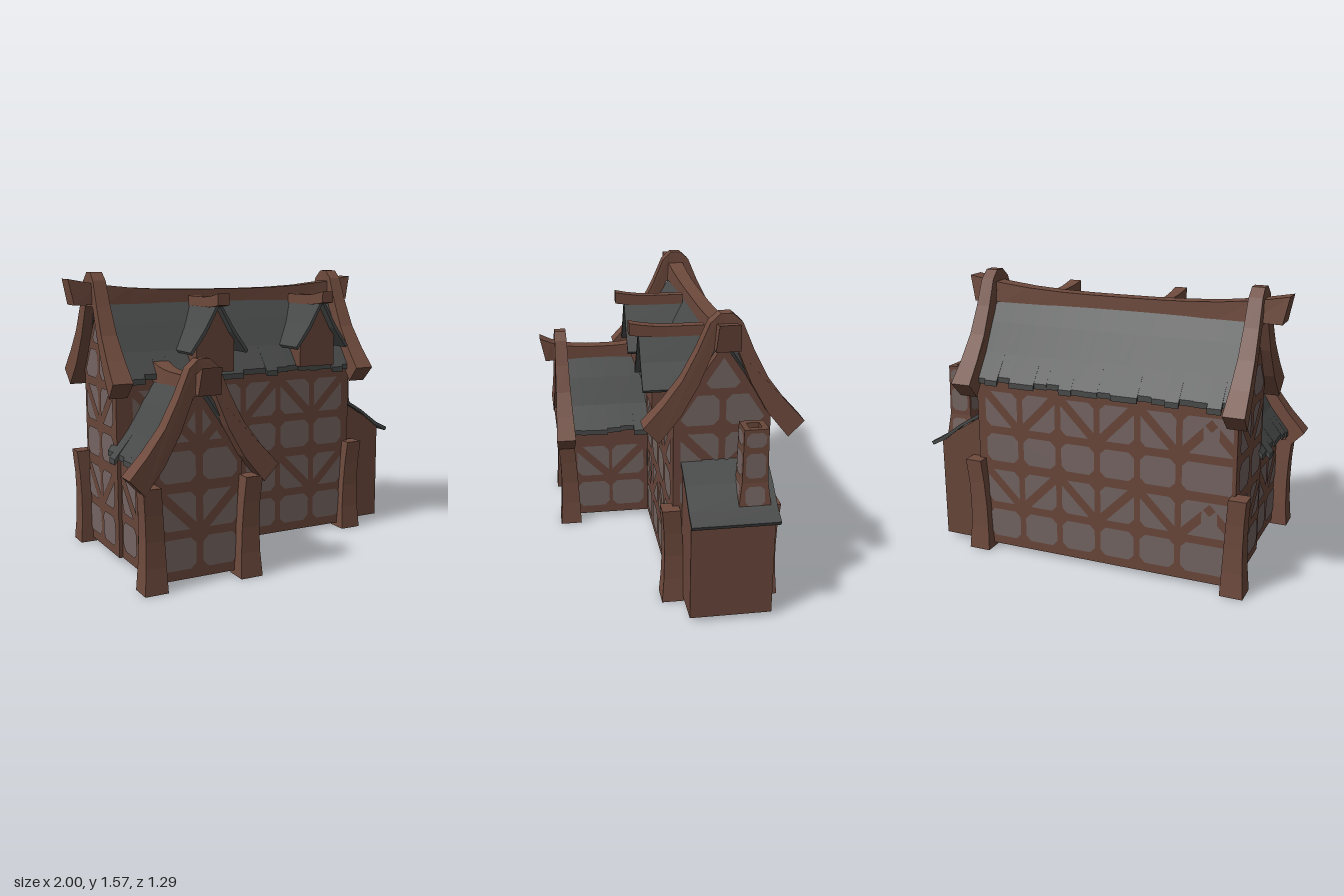
import * as THREE from 'three';
import { mergeGeometries } from 'three/addons/utils/BufferGeometryUtils.js';

const mat = (name, color) => new THREE.MeshStandardMaterial({ name, color, side: THREE.DoubleSide });
const beamMat = mat('beam wood', 0x6e4a3d);
const wallMat = mat('wall timber', 0x68463a);
const plasterMat = mat('plaster', 0x736461);
const roofMat = mat('roof slate', 0x484a49);
const darkMat = mat('flue', 0x2e2422);

let seed = 7;
const rand = () => (seed = (seed * 16807) % 2147483647) / 2147483647;

function add(parent, name, geo, material, x = 0, y = 0, z = 0) {
  const m = new THREE.Mesh(geo, material);
  m.name = name;
  m.position.set(x, y, z);
  parent.add(m);
  return m;
}
const shapeOf = pts => new THREE.Shape(pts.map(p => new THREE.Vector2(p[0], p[1])));
function prism(pts, z0, z1) {
  const g = new THREE.ExtrudeGeometry(shapeOf(pts), { depth: z1 - z0, bevelEnabled: false });
  return g.translate(0, 0, z0);
}
// Box whose vertices are moved by a rule, with hard facets
function bentBox(w, h, d, sx, sy, sz, rule) {
  const g = new THREE.BoxGeometry(w, h, d, sx, sy, sz).toNonIndexed();
  const p = g.attributes.position, v = new THREE.Vector3();
  for (let i = 0; i < p.count; i++) {
    rule(v.fromBufferAttribute(p, i));
    p.setXYZ(i, v.x, v.y, v.z);
  }
  g.computeVertexNormals();
  return g;
}
// Removes the underside so the shell is open at the ground
function openFloor(g, y) {
  const src = g.attributes.position.array, out = [];
  for (let i = 0; i < src.length; i += 9) {
    if (Math.max(src[i + 1], src[i + 4], src[i + 7]) > y + 0.001) out.push(...src.slice(i, i + 9));
  }
  const r = new THREE.BufferGeometry();
  r.setAttribute('position', new THREE.Float32BufferAttribute(out, 3));
  r.computeVertexNormals();
  return r;
}

// Keeps the part of a convex polygon where a*x + b*y <= c
function clip(pts, [a, b, c]) {
  const out = [];
  pts.forEach((p, i) => {
    const q = pts[(i + 1) % pts.length];
    const dp = a * p[0] + b * p[1] - c, dq = a * q[0] + b * q[1] - c;
    if (dp <= 0) out.push(p);
    if (dp * dq < 0) {
      const t = dp / (dp - dq);
      out.push([p[0] + (q[0] - p[0]) * t, p[1] + (q[1] - p[1]) * t]);
    }
  });
  return out;
}
function chamferedCell(x, y, w, h, c = 0.03) {
  const a = w / 2, b = h / 2;
  return [[-a + c, -b], [a - c, -b], [a, -b + c], [a, b - c], [a - c, b], [-a + c, b], [-a, b - c], [-a, -b + c]]
    .map(([u, v]) => [x + u, y + v]);
}

// Plaster fields between the timbers; every second row has V braces
const ROWS = [[0.165, 0.165], [0.39, 0.195], [0.62, 0.16], [0.845, 0.2], [1.07, 0.16], [1.31, 0.15]];
function plaster(parent, name, columns, rowCount, limits, pos, turn) {
  const geos = [];
  columns.forEach((x, ci) => ROWS.slice(0, rowCount).forEach(([y, h], ri) => {
    const w = 0.195, cell = chamferedCell(x, y, w, h);
    let pieces = [cell];
    if (ri % 2) {
      const s = ci % 2 ? -1 : 1, n = Math.hypot(w, h), a = s * h / n, b = w / n, c = a * x + b * y;
      pieces = [clip(cell, [a, b, c - 0.024]), clip(cell, [-a, -b, -c - 0.024])];
    }
    for (let p of pieces) {
      for (const l of limits) p = clip(p, l);
      if (p.length > 2) geos.push(new THREE.ShapeGeometry(shapeOf(p)));
    }
  }));
  add(parent, name, mergeGeometries(geos), plasterMat, ...pos).rotation.y = turn;
}
// Two sloping limits below a gable roof
const gableLimits = dy => [1, -1].map(s => [s * 0.37, 0.25, 0.25 * (1.39 + dy) - 0.012]);

// Curved bargeboard, wider toward its feet
function bargeboard(parent, z) {
  const outer = [[0.03, 1.575], [0.08, 1.53], [0.14, 1.39], [0.215, 1.245], [0.31, 1.12], [0.41, 1.01]];
  const inner = [[0.33, 0.925], [0.22, 1.06], [0.13, 1.22], [0.06, 1.39]];
  const half = [...outer, ...inner];
  const g = prism([...half, ...half.map(([x, y]) => [-x, y]).reverse()], -0.5, 0.5);
  const p = g.attributes.position;
  for (let i = 0; i < p.count; i++) p.setZ(i, p.getZ(i) * (0.065 + 0.14 * Math.abs(p.getX(i)) ** 1.2));
  g.computeVertexNormals();
  add(parent, 'bargeboard', g, beamMat, 0, 0, z);
}
// Sagging ridge beam with upturned, thicker ends
function ridgeBeam(parent, z0, z1) {
  const L = z1 - z0;
  const g = bentBox(1, 1, L, 1, 1, 10, v => {
    const t = Math.abs(v.z) / (L / 2), k = t * t * t;
    const top = v.y > 0;
    v.x *= 0.08 + 0.025 * k + (top ? 0 : 0.02 * k);
    v.y = top ? 1.475 + 0.065 * k : 1.4;
    if (!top) v.z *= 1 - 0.03 / (L / 2) * k;
  });
  add(parent, 'ridgeBeam', g, beamMat, 0, 0, (z0 + z1) / 2);
}
// Gabled block: across on x, ridge along z
function house(name, half, base, bodyZ, roofZ, barges, ridge) {
  const g = new THREE.Group();
  g.name = name;
  const side = [[half, base], [half, 1.03], [0.2, 1.1], [0.11, 1.25]];
  const body = prism([...side, [0, 1.41], ...side.map(([x, y]) => [-x, y]).reverse()], ...bodyZ);
  add(g, 'walls', openFloor(body, base), wallMat);
  // Roof courses with a ragged eave
  const strips = [], n = Math.round((roofZ[1] - roofZ[0]) / 0.075), step = (roofZ[1] - roofZ[0]) / n;
  for (const s of [1, -1]) for (let i = 0; i < n; i++) {
    const e = (rand() - 0.5) * 0.03;
    const top = [[0, 1.465], [0.11, 1.3], [0.2, 1.15], [0.3 + e, 1.025 - e]];
    const pts = [...top, ...top.map(([x, y]) => [x, y - 0.03]).reverse()].map(([x, y]) => [x * s, y]);
    strips.push(prism(pts, roofZ[0] + i * step, roofZ[0] + (i + 1) * step));
  }
  add(g, 'roof', mergeGeometries(strips), roofMat);
  barges.forEach(z => bargeboard(g, z));
  ridgeBeam(g, ...ridge);
  return g;
}

// Corner post, waisted in the middle and flared at the foot
function post(parent, x, z, ox, oz) {
  const g = bentBox(0.1, 0.54, 0.1, 1, 4, 1, v => {
    const t = v.y / 0.54 + 0.5, foot = (1 - t) ** 2;
    const k = 0.85 + 0.1 * t + 0.4 * foot;
    v.x = v.x * k + ox * (0.025 * t * t + 0.01 * foot);
    v.z = v.z * k + oz * (0.025 * t * t + 0.01 * foot);
    v.y += 0.275;
  });
  add(parent, 'cornerPost', g, beamMat, x, 0, z);
}

function dormer(parent, x) {
  const g = new THREE.Group();
  g.name = 'dormer';
  g.position.x = x;
  parent.add(g);
  add(g, 'dormerWalls', prism([[-0.115, 1.03], [0.115, 1.03], [0.115, 1.21], [0, 1.4], [-0.115, 1.21]], -0.15, 0.105), wallMat);
  for (const s of [1, -1]) {
    const pts = [[0, 1.425], [0.09, 1.27], [0.175, 1.15], [0.165, 1.135], [0.08, 1.25], [0, 1.395]];
    add(g, 'dormerRoof', prism(pts.map(([u, y]) => [u * s, y]), -0.18, 0.16), roofMat);
  }
  add(g, 'dormerRidge', bentBox(0.055, 0.055, 0.39, 1, 1, 6, v => {
    const t = Math.max(0, v.z / 0.195);
    v.x *= 1 + 0.25 * t;
    v.y = v.y * (1 + 0.15 * t) + 0.02 * t * t;
  }), beamMat, 0, 1.412, 0.015);
}

function chimney(parent) {
  const g = new THREE.Group();
  g.name = 'chimney';
  g.position.set(0.825, 0, -0.355);
  parent.add(g);
  const ring = pts => new THREE.LatheGeometry(pts.map(([r, y]) => new THREE.Vector2(r * Math.SQRT2, y)), 4)
    .rotateY(Math.PI / 4).toNonIndexed();
  const stack = ring([[0.09, 0.58], [0.066, 0.76], [0.062, 1.04], [0.032, 1.04], [0.03, 0.97]]);
  stack.computeVertexNormals();
  add(g, 'chimneyStack', stack, wallMat);
  add(g, 'flue', new THREE.PlaneGeometry(0.062, 0.062).rotateX(-Math.PI / 2), darkMat, 0, 0.975, 0);
  for (let i = 0; i < 4; i++) {
    const face = new THREE.Group();
    face.name = 'chimneyFace';
    face.rotation.y = i * Math.PI / 2;
    g.add(face);
    for (const [y, h, z, tilt] of [[0.985, 0.075, 0.066, 0.014], [0.85, 0.13, 0.068, 0.014], [0.69, 0.1, 0.078, 0.133]]) {
      const stone = new THREE.ShapeGeometry(shapeOf(chamferedCell(0, 0, 0.1, h, 0.02)));
      add(face, 'chimneyStone', stone, plasterMat, 0, y, z).rotation.x = -tilt;
    }
  }
}

export function createModel() {
  const model = new THREE.Group();
  model.name = 'timberHouse';
  const H = Math.PI / 2;

  const main = house('mainHouse', 0.25, 0.03, [-0.82, 0.67], [-0.82, 0.66], [-0.835, 0.675], [-1, 0.8]);
  main.rotation.y = H;
  main.position.z = -0.23;
  model.add(main);
  const wing = house('frontWing', 0.245, 0.44, [-0.24, 0.49], [-0.05, 0.51], [0.525], [-0.06, 0.65]);
  wing.position.set(-0.555, -0.41, 0);
  model.add(wing);

  // Plaster on every outer wall
  const cols = [-0.63, -0.4, -0.17, 0.06, 0.29, 0.52];
  plaster(model, 'frontPlaster', cols, 4, [[-1, 0, 0.79]], [0, 0, 0.025], 0);
  plaster(model, 'backPlaster', cols.map(x => -x).reverse().concat(0.74), 4, [[1, 0, 0.8]], [0, 0, -0.485], Math.PI);
  plaster(model, 'rightGablePlaster', [-0.115, 0.115], 5, gableLimits(0), [0.675, 0, -0.23], H);
  plaster(model, 'leftGablePlaster', [-0.115, 0.115], 5, gableLimits(0), [-0.825, 0, -0.23], -H);
  for (const [x, turn] of [[0.675, H], [-0.825, -H]]) {
    const top = new THREE.ShapeGeometry(shapeOf(clip(clip(chamferedCell(0, 1.27, 0.18, 0.17), gableLimits(0)[0]), gableLimits(0)[1])));
    add(model, 'gableTopPlaster', top, plasterMat, x, 0, -0.23).rotation.y = turn;
  }
  plaster(model, 'wingFrontPlaster', [-0.12, 0.115], 4, gableLimits(-0.41), [-0.555, 0, 0.495], 0);
  plaster(model, 'wingRightPlaster', [-0.36, -0.145], 2, [], [-0.305, 0, 0], H);
  plaster(model, 'wingLeftPlaster', [0.145, 0.36], 2, [], [-0.805, 0, 0], -H);

  for (const [x, z, ox, oz] of [[-0.82, 0.5, -1, 1], [-0.305, 0.5, 1, 1], [0.655, 0.01, 1, 1], [0.655, -0.47, 1, -1], [-0.82, -0.47, -1, -1]]) {
    post(model, x, z, ox, oz);
  }
  dormer(model, -0.27);
  dormer(model, 0.39);

  // Lean-to with a single sloping roof
  const shed = prism([[0.66, 0.03], [0.93, 0.03], [0.93, 0.615], [0.66, 0.78]], -0.46, -0.03);
  add(model, 'leanToWalls', openFloor(shed, 0.03), wallMat);
  add(model, 'leanToRoof', prism([[0.66, 0.805], [0.8, 0.72], [0.92, 0.63], [1, 0.59], [0.99, 0.57], [0.91, 0.612], [0.8, 0.7], [0.66, 0.785]], -0.47, -0.02), roofMat);
  chimney(model);
  return model;
}
